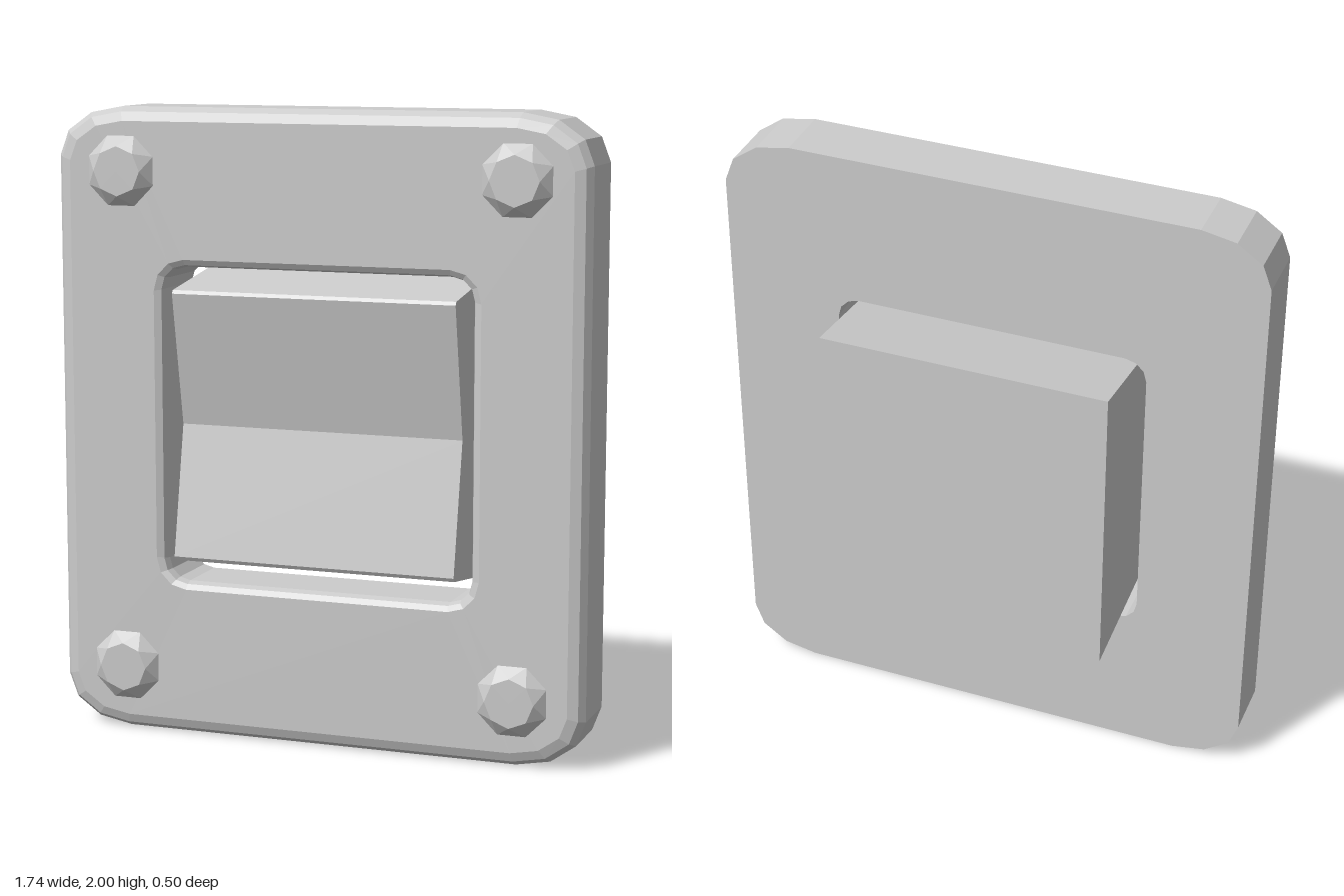
import * as THREE from 'three';

const grey = new THREE.MeshStandardMaterial({ color: 0xcccccc, flatShading: true });
grey.name = 'plain grey';

const MID_Y = 1;

// Rounded rectangle ring, counter-clockwise seen from the front
function ring(halfW, halfH, rx, ry, z) {
  const points = [];
  const corners = [[1, 1], [-1, 1], [-1, -1], [1, -1]];
  corners.forEach(([sx, sy], c) => {
    for (let i = 0; i <= 3; i++) {
      const a = (c + i / 3) * Math.PI / 2;
      points.push([
        sx * (halfW - rx) + rx * Math.cos(a),
        MID_Y + sy * (halfH - ry) + ry * Math.sin(a),
        z,
      ]);
    }
  });
  return points;
}

// Joins rings into a closed frame, the last ring meeting the first
function loftFrame(rings) {
  const n = rings[0].length;
  const index = [];
  rings.forEach((_, k) => {
    const a = k * n, b = ((k + 1) % rings.length) * n;
    for (let i = 0; i < n; i++) {
      const j = (i + 1) % n;
      index.push(a + i, a + j, b + j, a + i, b + j, b + i);
    }
  });
  const geometry = new THREE.BufferGeometry();
  geometry.setAttribute('position', new THREE.Float32BufferAttribute(rings.flat(2), 3));
  geometry.setIndex(index);
  const flat = geometry.toNonIndexed();
  flat.computeVertexNormals();
  return flat;
}

function addMesh(parent, name, geometry) {
  const mesh = new THREE.Mesh(geometry, grey);
  mesh.name = name;
  parent.add(mesh);
  return mesh;
}

// Octagonal bolt head: small top twisted half a step against the base
function boltGeometry() {
  const height = 0.036;
  const geometry = new THREE.CylinderGeometry(0.078, 0.119, height, 8, 1);
  const p = geometry.attributes.position;
  const v = new THREE.Vector3();
  const up = new THREE.Vector3(0, 1, 0);
  for (let i = 0; i < p.count; i++) {
    v.fromBufferAttribute(p, i);
    if (v.y > 0) v.applyAxisAngle(up, -Math.PI / 8);
    p.setXYZ(i, v.x, v.y, v.z);
  }
  geometry.rotateY(Math.PI / 8);
  geometry.rotateX(Math.PI / 2);
  geometry.translate(0, 0, 0.214 + height / 2);
  const flat = geometry.toNonIndexed();
  flat.computeVertexNormals();
  return flat;
}

export function createModel() {
  const model = new THREE.Group();
  model.name = 'rockerSwitch';

  // Face plate with a bevelled front rim and a bevelled opening
  addMesh(model, 'facePlate', loftFrame([
    ring(0.87, 1, 0.22, 0.155, -0.015),
    ring(0.87, 1, 0.22, 0.155, 0.178),
    ring(0.852, 0.984, 0.205, 0.145, 0.203),
    ring(0.82, 0.955, 0.18, 0.125, 0.215),
    ring(0.537, 0.527, 0.1, 0.1, 0.215),
    ring(0.515, 0.51, 0.08, 0.08, 0.205),
    ring(0.506, 0.503, 0.07, 0.07, 0.18),
    ring(0.506, 0.503, 0.07, 0.07, -0.015),
  ]));

  // Rocker: tapered block with a shallow V across the front, profile in (z, y)
  const profile = [
    [-0.25, 0.503], [0.233, 0.415 + 0.158], [0.24, 0.585], [0.16, 1],
    [0.24, 1.423], [0.233, 1.434], [-0.25, 1.505],
  ];
  const shape = new THREE.Shape(profile.map(([z, y]) => new THREE.Vector2(z, y)));
  const width = 0.928;
  const rocker = new THREE.ExtrudeGeometry(shape, { depth: width, bevelEnabled: false });
  rocker.translate(0, 0, -width / 2);
  rocker.rotateY(-Math.PI / 2);
  addMesh(model, 'rocker', rocker);

  // Four corner bolts
  const bolt = boltGeometry();
  for (const [side, x] of [['left', 0.645], ['right', -0.645]]) {
    for (const [level, y] of [['Upper', 1.8], ['Lower', 0.21]]) {
      addMesh(model, side + level + 'Bolt', bolt).position.set(x, y, 0);
    }
  }
  return model;
}
